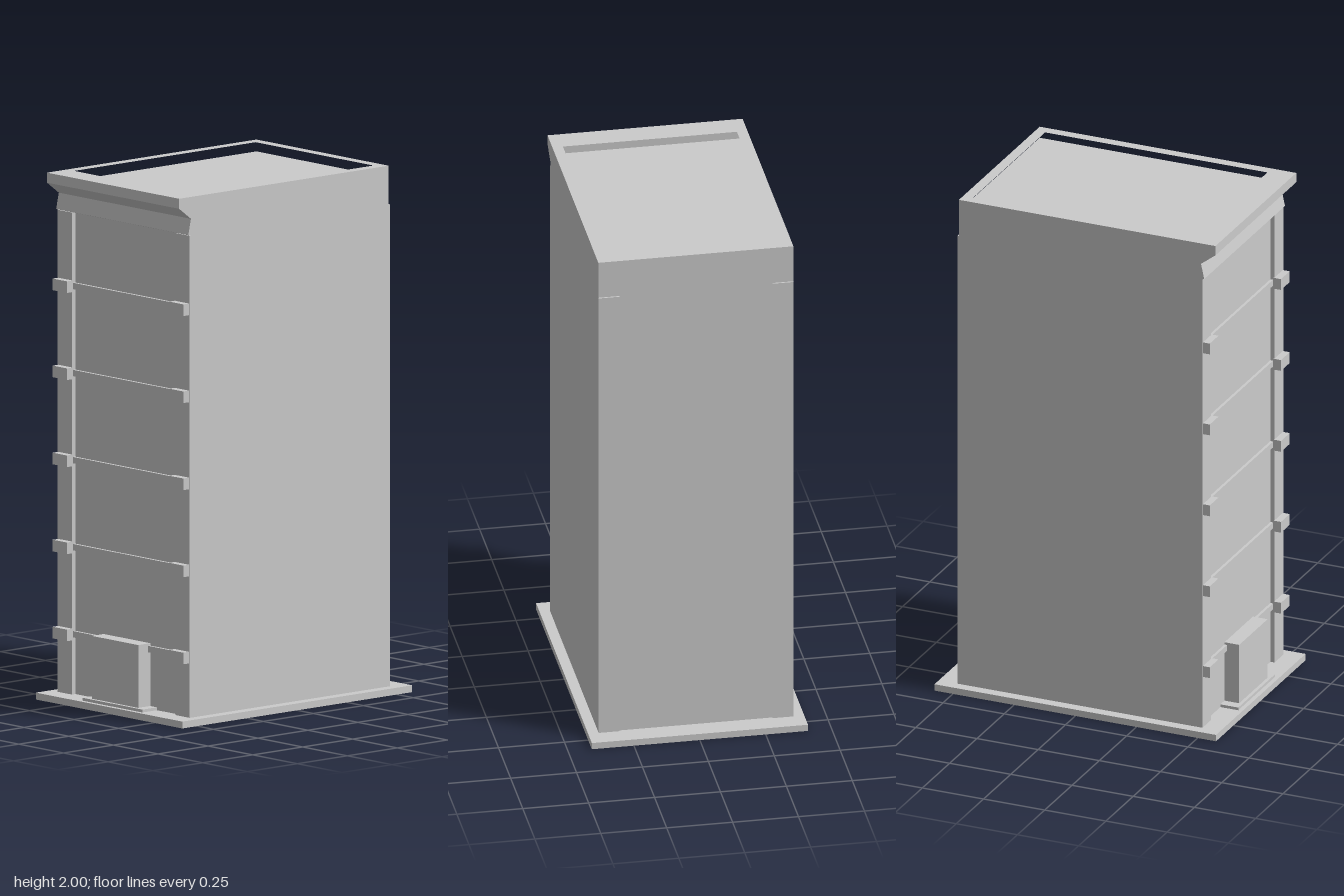
import * as THREE from 'three';

export function createModel() {
  const building = new THREE.Group();
  building.name = 'building';
  const material = new THREE.MeshStandardMaterial({ color: 0xcccccc, flatShading: true });

  function add(name, geometry) {
    const mesh = new THREE.Mesh(geometry, material);
    mesh.name = name;
    building.add(mesh);
    return mesh;
  }

  // Box given by its extents on each axis
  function block(name, x0, x1, y0, y1, z0, z1) {
    const geometry = new THREE.BoxGeometry(x1 - x0, y1 - y0, z1 - z0);
    geometry.translate((x0 + x1) / 2, (y0 + y1) / 2, (z0 + z1) / 2);
    return add(name, geometry);
  }

  function rectangle(x0, x1, z0, z1, Type = THREE.Shape) {
    const path = new Type();
    path.moveTo(x0, -z0).lineTo(x1, -z0).lineTo(x1, -z1).lineTo(x0, -z1).closePath();
    return path;
  }

  // Horizontal slab with rectangular openings
  function slab(name, outer, openings, y0, y1) {
    const shape = rectangle(...outer);
    shape.holes = openings.map((o) => rectangle(...o, THREE.Path));
    const geometry = new THREE.ExtrudeGeometry(shape, { depth: y1 - y0, bevelEnabled: false });
    geometry.rotateX(-Math.PI / 2).translate(0, y0, 0);
    return add(name, geometry);
  }

  const W = 0.37; // half width of the tower
  const pilasterInner = 0.29;
  const wallX = -0.485; // recessed facade wall
  const backX = 0.493;

  // Ground plate, with shallow grooves on its underside
  slab('groundPlateUnderside', [-0.575, 0.575, -0.41, 0.41], [
    [0.49, 0.505, -0.37, 0.35],
    [-0.49, 0.505, 0.36, 0.375],
    [-0.46, 0.46, -0.335, -0.32],
    [-0.46, 0.46, 0.32, 0.335],
  ], 0, 0.012);
  block('groundPlate', -0.575, 0.575, 0.012, 0.026, -0.41, 0.41);

  // Tower and roof parapet
  block('tower', wallX, backX, 0.026, 1.955, -W, W);
  slab('parapet', [wallX, backX, -W, W], [[-0.455, 0.453, -0.33, 0.33]], 1.955, 2);

  // Cornice with its sloping frieze along the facade
  const profile = new THREE.Shape([
    [wallX, 1.85], [-0.503, 1.855], [-0.509, 1.857], [-0.496, 1.917],
    [-0.555, 1.962], [-0.555, 2], [wallX, 2],
  ].map(([x, y]) => new THREE.Vector2(x, y)));
  const cornice = new THREE.ExtrudeGeometry(profile, { depth: 2 * W, bevelEnabled: false });
  add('cornice', cornice.translate(0, 0, -W));

  // Corner pilasters on the facade and on the opposite wall
  for (const side of [-1, 1]) {
    const z0 = side < 0 ? -W : pilasterInner;
    const z1 = side < 0 ? -pilasterInner : W;
    block('facadePilaster', -0.502, wallX, 0.026, 1.853, z0, z1);
    block('rearPilaster', backX, 0.499, 0.026, 1.853, z0, z1);
  }

  // Floor bands with a projecting bracket on each pilaster
  for (let floor = 0; floor < 5; floor++) {
    const y = 0.254 + floor * 0.33;
    block('floorBand', -0.496, wallX, y - 0.012, y + 0.012, -pilasterInner, pilasterInner);
    for (const side of [-1, 1]) {
      const z = side * 0.326;
      block('bracket', -0.53, -0.5, y - 0.022, y + 0.022, z - 0.04, z + 0.04);
    }
  }

  // Entrance and its doorstep
  block('entrance', -0.545, wallX, 0.026, 0.275, -0.13, 0.13);
  block('doorstep', -0.558, wallX, 0.026, 0.037, -0.168, 0.168);

  return building;
}
